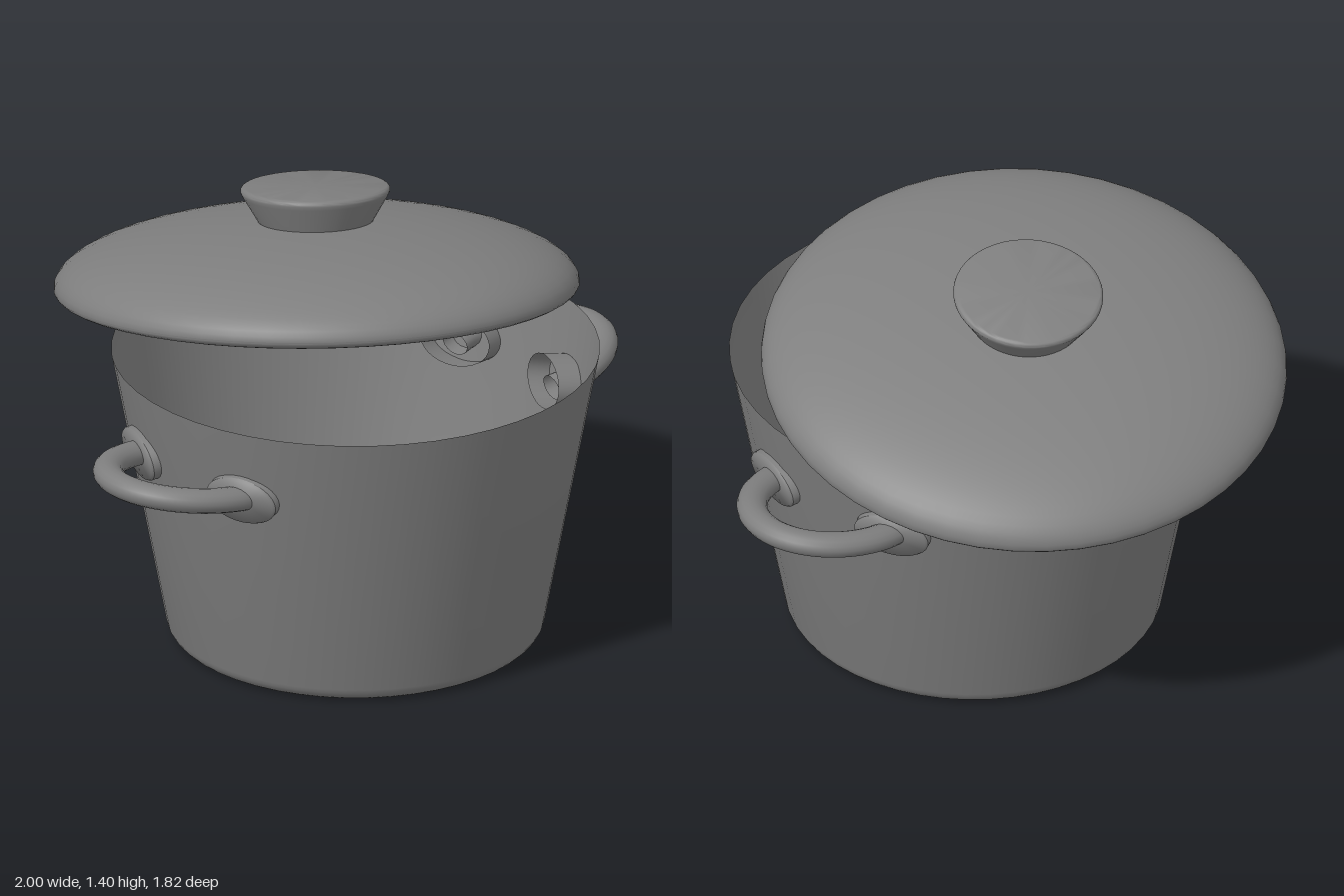
import * as THREE from 'three';
import { toCreasedNormals } from 'three/addons/utils/BufferGeometryUtils.js';

const metal = new THREE.MeshStandardMaterial({ color: 0x7f7f7f, side: THREE.DoubleSide });
metal.name = 'grey metal';

const SEGMENTS = 48;

// Turned part from [radius, height] pairs, listed from bottom to top
function turned(name, points, segments = SEGMENTS) {
  const profile = points.map(([r, y]) => new THREE.Vector2(r, y));
  const mesh = new THREE.Mesh(toCreasedNormals(new THREE.LatheGeometry(profile, segments), 0.6), metal);
  mesh.name = name;
  return mesh;
}

// Points on an elliptical arc around (cx, cy), angles in radians
function arc(cx, cy, rx, ry, from, to, steps) {
  return Array.from({ length: steps + 1 }, (_, i) => {
    const a = from + ((to - from) * i) / steps;
    return [Math.max(0, cx + rx * Math.cos(a)), cy + ry * Math.sin(a)];
  });
}

// Elliptical mounting plate reaching through the wall, open on the inside
function createMount(side) {
  const angle = side * 0.335;
  const mount = turned('handleMount', [[1, -0.085], [1, 0.014], [0.94, 0.022], [0, 0.022]], 32);
  mount.geometry.scale(0.08, 1, 0.122);
  mount.geometry.rotateZ(-Math.PI / 2 - 0.18);
  mount.geometry.rotateY(-angle);
  mount.position.set(0.71 * Math.cos(angle), 0.71, 0.71 * Math.sin(angle));
  return mount;
}

// Side handle: flattened tube bent in a half ellipse, rising outwards
function createHandle() {
  const handle = new THREE.Group();
  handle.name = 'handle';
  const path = arc(0, 0, 0.285, 0.235, -Math.PI / 2, Math.PI / 2, 16)
    .map(([x, z]) => new THREE.Vector3(x, 0, z));
  path.unshift(new THREE.Vector3(-0.06, 0, -0.225));
  path.push(new THREE.Vector3(-0.06, 0, 0.225));
  const geometry = new THREE.TubeGeometry(new THREE.CatmullRomCurve3(path), 48, 0.048, 16);
  geometry.scale(1, 0.8, 1);
  const grip = new THREE.Mesh(geometry, metal);
  grip.name = 'handleGrip';
  grip.rotation.z = 0.14;
  grip.position.set(0.67, 0.712, 0);
  handle.add(grip, createMount(1), createMount(-1));
  return handle;
}

function createPot() {
  const pot = new THREE.Group();
  pot.name = 'pot';
  pot.add(turned('potBody', [
    [0, 0],
    ...arc(0.53, 0.055, 0.056, 0.055, -Math.PI / 2, -0.18, 6),
    [0.755, 0.945],
  ]));
  // The same handle on both sides
  for (const turn of [0, Math.PI]) {
    const handle = createHandle();
    handle.rotation.y = turn;
    pot.add(handle);
  }
  pot.position.z = 0.155;
  return pot;
}

// Domed lid with a flaring knob, resting askew on the rim
function createLid() {
  const lid = new THREE.Group();
  lid.name = 'lid';
  lid.add(turned('lidDome', [
    [0, -0.028],
    ...arc(0.755, 0, 0.058, 0.028, -Math.PI / 2, -0.2, 4),
    ...arc(0, 0, 0.813, 0.212, 0, Math.PI / 2, 20),
  ]));
  lid.add(turned('knob', [
    [0.158, 0.17],
    [0.225, 0.285],
    ...arc(0.216, 0.301, 0.016, 0.014, -0.3, Math.PI / 2, 5),
    [0, 0.315],
  ]));
  const tilt = new THREE.Vector3(0.12, 1, -0.157).normalize();
  lid.quaternion.setFromUnitVectors(new THREE.Vector3(0, 1, 0), tilt);
  lid.position.set(0.075, 1.045, -0.11);
  return lid;
}

export function createModel() {
  const model = new THREE.Group();
  model.name = 'cookingPot';
  model.add(createPot(), createLid());
  return model;
}
